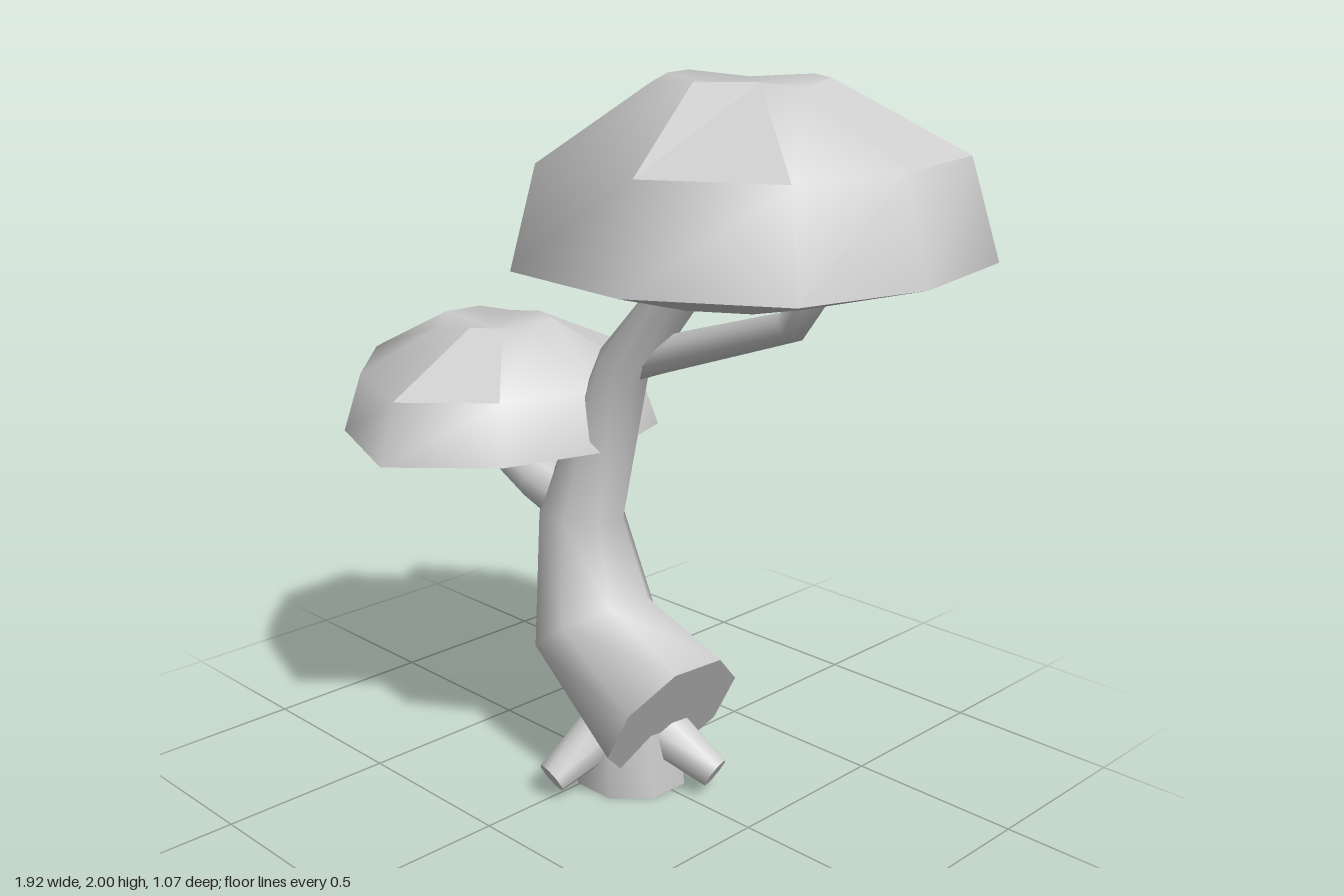
import * as THREE from 'three';

const clay = new THREE.MeshStandardMaterial({ color: 0xcccccc });
clay.name = 'pale grey';

function makeMesh(name, verts, index, flat = false) {
  let g = new THREE.BufferGeometry();
  g.setAttribute('position', new THREE.Float32BufferAttribute(verts.flat(), 3));
  g.setIndex(index);
  if (flat) g = g.toNonIndexed();
  g.computeVertexNormals();
  const m = new THREE.Mesh(g, clay);
  m.name = name;
  return m;
}

// Eight-sided limb through [x, y, z, radius] sections, mitred at the bends
function limb(name, sections, sides = 8) {
  const group = new THREE.Group();
  group.name = name;
  const c = sections.map(s => new THREE.Vector3(s[0], s[1], s[2]));
  const dir = i => c[i + 1].clone().sub(c[i]).normalize();
  const last = c.length - 1;
  const rings = c.map((p, i) => {
    const t = new THREE.Vector3();
    if (i > 0) t.add(dir(i - 1));
    if (i < last) t.add(dir(i));
    t.normalize();
    const ref = Math.abs(t.z) > 0.75 ? new THREE.Vector3(0, 1, 0) : new THREE.Vector3(0, 0, 1);
    const u = ref.addScaledVector(t, -ref.dot(t)).normalize();
    const v = t.clone().cross(u);
    return Array.from({ length: sides }, (_, j) => {
      const a = (j + 0.5) / sides * Math.PI * 2;
      return p.clone().addScaledVector(u, Math.cos(a) * sections[i][3])
        .addScaledVector(v, Math.sin(a) * sections[i][3]).toArray();
    });
  });
  const index = [];
  for (let i = 0; i < last; i++) for (let j = 0; j < sides; j++) {
    const k = (j + 1) % sides, a = i * sides + j, b = i * sides + k;
    index.push(a, b, a + sides, b, b + sides, a + sides);
  }
  group.add(makeMesh(name + 'Bark', rings.flat(), index));
  // Flat cut ends
  const start = [], end = [];
  for (let j = 0; j < sides; j++) {
    const k = (j + 1) % sides;
    start.push(sides, k, j);
    end.push(sides, j, k);
  }
  group.add(makeMesh(name + 'StartCut', [...rings[0], c[0].toArray()], start, true));
  group.add(makeMesh(name + 'EndCut', [...rings[last], c[last].toArray()], end, true));
  return group;
}

// Foliage dome: rim, shoulder and crown rings, with some flat-cut facets
function canopy(name, o) {
  const group = new THREE.Group();
  group.name = name;
  const n = o.rim.length, [cx, cz] = o.centre;
  const shrink = (s, y) => o.rim.map((p, i) =>
    [cx + (p[0] - cx) * s, typeof y === 'function' ? y(i) : y, cz + (p[2] - cz) * s]);
  const shoulder = shrink(0.88, i => o.shoulderY + (o.rim[i][1] - o.rimY) * 0.8);
  const crown = o.crown.map(([x, z], i) => [x, o.topY - (i % 3 === 1 ? 0.015 : 0), z]);
  const verts = [...o.rim, ...shoulder, ...crown, [cx, o.topY - o.dip, cz]];
  const shell = [], facets = [];
  for (let j = 0; j < n; j++) {
    const k = (j + 1) % n;
    for (let r = 0; r < 2; r++) {
      const a = r * n + j, b = r * n + k;
      (r === 1 && o.facets.includes(j) ? facets : shell).push(a, a + n, b, b, a + n, b + n);
    }
    shell.push(3 * n, 2 * n + k, 2 * n + j);
  }
  group.add(makeMesh(name + 'Dome', verts, shell));
  group.add(makeMesh(name + 'Facets', verts, facets, true));
  // Shallow underside
  const under = [], belly = shrink(0.4, o.bottomY);
  for (let j = 0; j < n; j++) {
    const k = (j + 1) % n;
    under.push(j, k, n + j, k, n + k, n + j, 2 * n, n + j, n + k);
  }
  group.add(makeMesh(name + 'Underside', [...o.rim, ...belly, [cx, o.bottomY + 0.005, cz]], under));
  return group;
}

export function createModel() {
  const model = new THREE.Group();
  model.name = 'bonsaiTree';

  // Leaning trunk running into the upper branch, then side branches
  model.add(limb('trunk', [
    [0.22, 0.235, 0.01, 0.222], [-0.115, 0.41, -0.01, 0.19], [-0.19, 0.735, -0.03, 0.13],
    [-0.03, 1.2, -0.045, 0.078], [0.25, 1.52, -0.045, 0.06],
  ]));
  model.add(limb('rightBranch', [
    [-0.02, 1.2, -0.06, 0.055], [0.07, 1.235, -0.065, 0.055],
    [0.53, 1.39, -0.08, 0.045], [0.61, 1.5, -0.08, 0.042],
  ]));
  model.add(limb('leftBranch', [
    [-0.2, 0.76, -0.01, 0.08], [-0.33, 0.82, 0.02, 0.07], [-0.54, 0.94, 0.05, 0.055],
  ]));

  // Stump and root stubs
  model.add(limb('stump', [[0.055, 0, 0.01, 0.165], [0.055, 0.27, 0.01, 0.14]]));
  const roots = [[0, 0.06, 0.27], [0.31, 0.065, -0.07], [-0.14, 0.065, -0.17]];
  roots.forEach(([x, y, z], i) => model.add(limb('root' + (i + 1), [
    [0.055 + (x - 0.055) * 0.25, 0.18, z * 0.25, 0.085], [x, y, z, 0.048],
  ])));

  // Large upper foliage
  model.add(canopy('upperFoliage', {
    centre: [0.36, -0.03], rimY: 1.555, shoulderY: 1.815, topY: 1.998, dip: 0.03, bottomY: 1.45,
    rim: [[-0.28, 1.57, -0.24], [0.06, 1.57, -0.48], [0.48, 1.58, -0.54], [0.91, 1.56, -0.41],
      [0.96, 1.55, -0.05], [0.83, 1.535, 0.26], [0.48, 1.535, 0.475], [0.04, 1.53, 0.42], [-0.11, 1.545, 0.09]],
    crown: [[0.14, -0.11], [0.27, -0.2], [0.45, -0.24], [0.56, -0.17], [0.58, -0.05],
      [0.53, 0.06], [0.41, 0.16], [0.22, 0.11], [0.17, 0]],
    facets: [3, 5, 8],
  }));

  // Small lower foliage
  model.add(canopy('lowerFoliage', {
    centre: [-0.49, 0.04], rimY: 0.965, shoulderY: 1.13, topY: 1.272, dip: 0.035, bottomY: 0.888,
    rim: [[-0.96, 0.955, -0.12], [-0.7, 0.97, -0.31], [-0.39, 0.995, -0.425], [-0.08, 0.98, -0.23],
      [-0.035, 0.955, 0], [-0.14, 0.95, 0.31], [-0.39, 0.945, 0.53], [-0.71, 0.96, 0.42], [-0.92, 0.98, 0.2]],
    crown: [[-0.63, -0.03], [-0.57, -0.1], [-0.45, -0.11], [-0.35, -0.07], [-0.33, 0.02],
      [-0.35, 0.12], [-0.42, 0.18], [-0.56, 0.17], [-0.64, 0.09]],
    facets: [2, 5, 8],
  }));
  return model;
}
